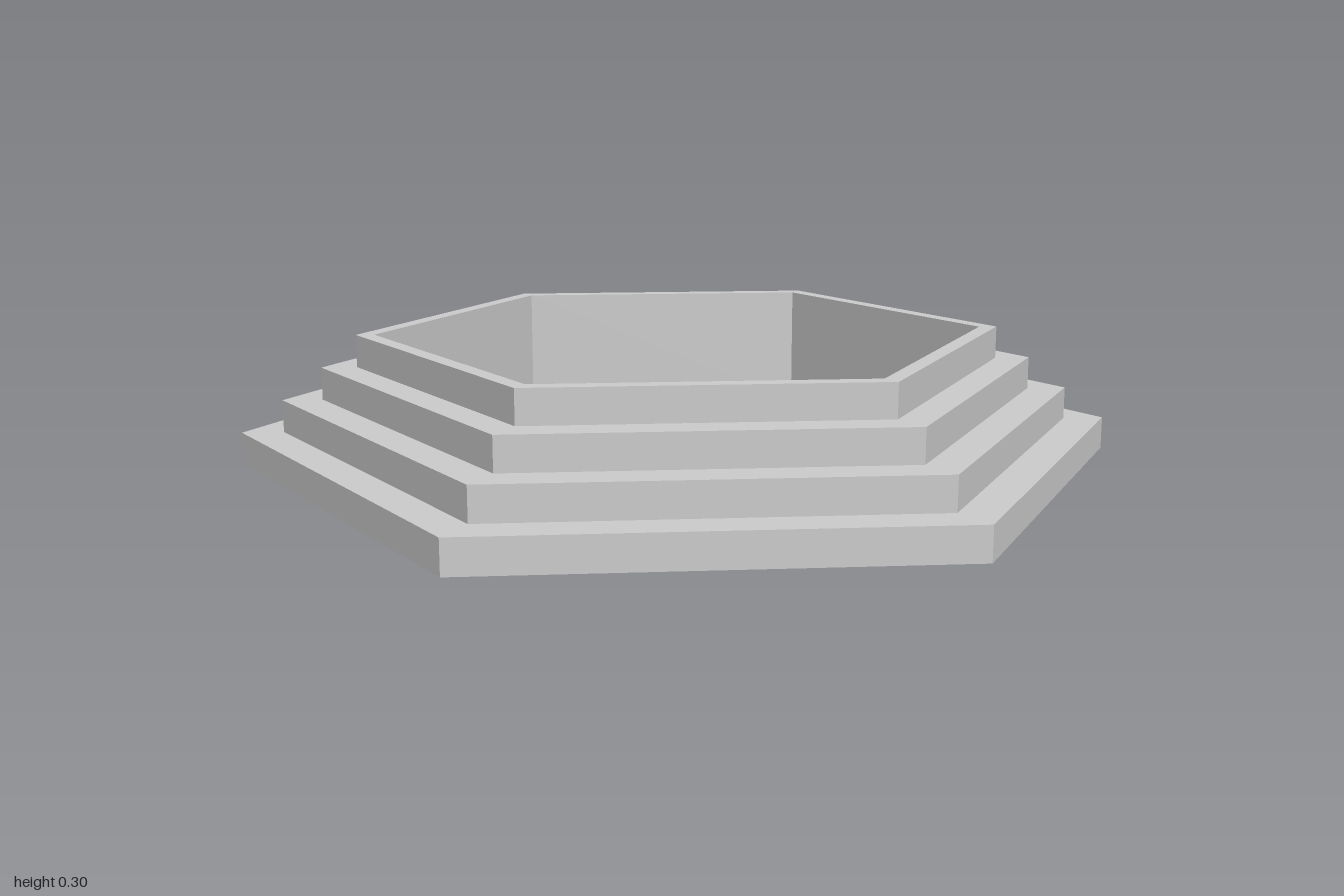
import * as THREE from 'three';

const SIDES = 6;
const INNER = 0.695;
const BASE = 0.005;
const TOP = 0.3;
const STEP_RADII = [1, 0.906, 0.816, 0.736];

export function createModel() {
  const group = new THREE.Group();
  group.name = 'steppedHexagonalBasin';
  const material = new THREE.MeshStandardMaterial({ color: 0xcccccc, flatShading: true });

  // Stepped ring: closed profile, up the outer steps and down the inner wall
  const rise = (TOP - BASE) / STEP_RADII.length;
  const profile = [new THREE.Vector2(INNER, BASE)];
  STEP_RADII.forEach((radius, i) => {
    profile.push(new THREE.Vector2(radius, BASE + i * rise));
    profile.push(new THREE.Vector2(radius, BASE + (i + 1) * rise));
  });
  profile.push(new THREE.Vector2(INNER, TOP), new THREE.Vector2(INNER, BASE));
  const steps = new THREE.Mesh(new THREE.LatheGeometry(profile, SIDES, Math.PI / 2), material);
  steps.name = 'steppedRim';
  group.add(steps);

  // Thin floor plate closing the opening
  const floor = new THREE.Mesh(
    new THREE.CylinderGeometry(INNER, INNER, BASE, SIDES, 1, false, Math.PI / 2),
    material
  );
  floor.name = 'floor';
  floor.position.y = BASE / 2;
  group.add(floor);

  return group;
}
